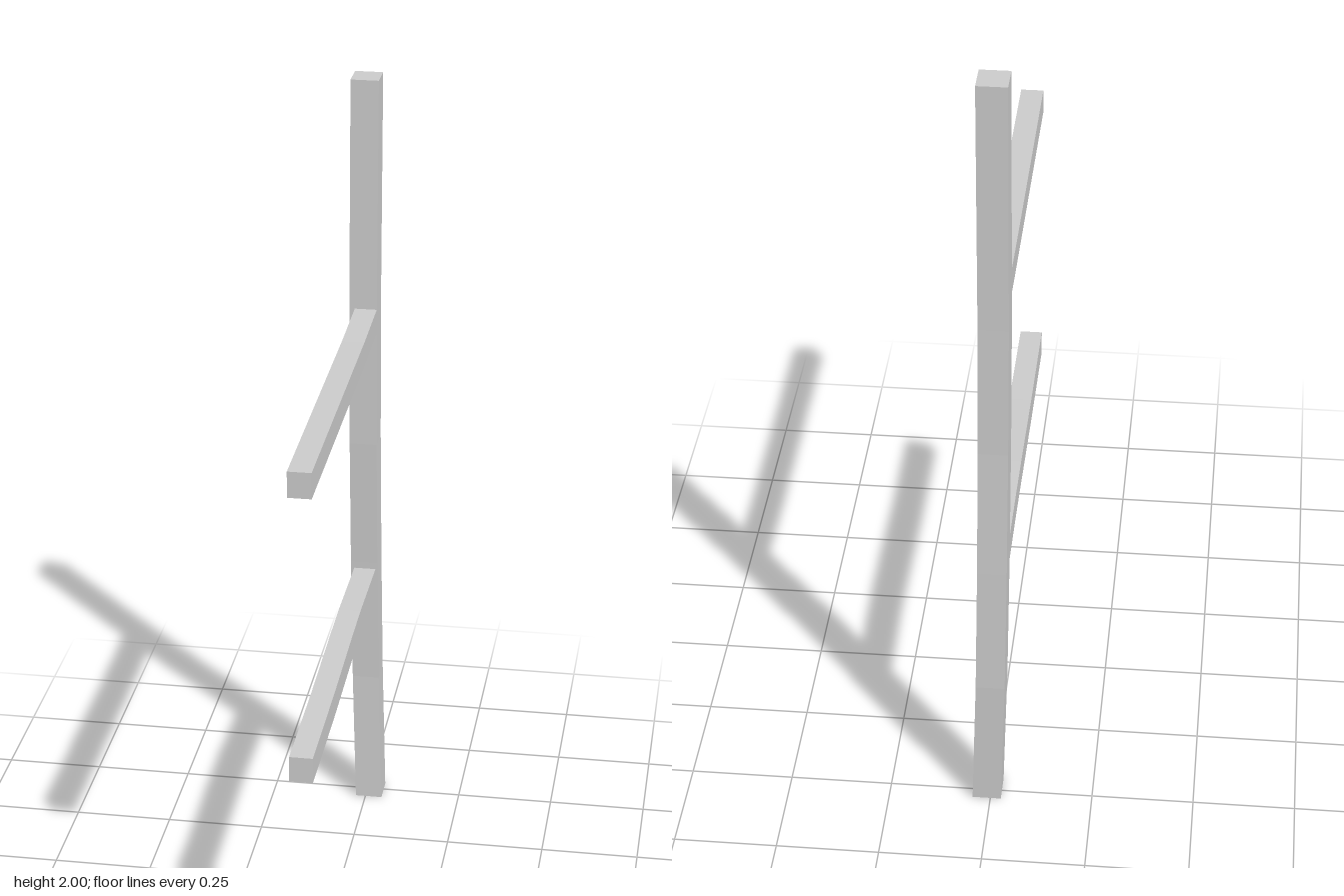
import * as THREE from 'three';

const material = new THREE.MeshStandardMaterial({ color: 0xcccccc, flatShading: true });

// Square beam along 'y' or 'z' whose cross-sections follow a list of centre points
function bentBeam(name, axis, width, depth, points) {
  const n = points.length - 1;
  const geo = axis === 'y'
    ? new THREE.BoxGeometry(width, n, depth, 1, n, 1)
    : new THREE.BoxGeometry(width, depth, n, 1, 1, n);
  const pos = geo.attributes.position;
  const v = new THREE.Vector3();
  for (let i = 0; i < pos.count; i++) {
    v.fromBufferAttribute(pos, i);
    const row = Math.round(v[axis] + n / 2);
    v[axis] = 0;
    v.add(new THREE.Vector3(...points[row]));
    pos.setXYZ(i, v.x, v.y, v.z);
  }
  geo.computeVertexNormals();
  const mesh = new THREE.Mesh(geo, material);
  mesh.name = name;
  return mesh;
}

export function createModel() {
  const group = new THREE.Group();
  group.name = 'postWithArms';

  // Slightly crooked upright
  group.add(bentBeam('post', 'y', 0.07, 0.075, [
    [0.009, 0, -0.493], [-0.002, 0.36, -0.504], [-0.007, 0.7, -0.5],
    [-0.010, 1.04, -0.494], [-0.012, 1.38, -0.497], [-0.012, 2, -0.511],
  ]));

  // Two arms reaching forward, rooted inside the post
  group.add(bentBeam('upperArm', 'z', 0.056, 0.064, [
    [-0.005, 1.378, -0.5], [-0.005, 1.376, -0.42], [-0.005, 1.371, -0.25],
    [-0.005, 1.371, 0.55],
  ]));
  group.add(bentBeam('lowerArm', 'z', 0.056, 0.065, [
    [-0.005, 0.649, -0.5], [-0.005, 0.658, -0.2], [-0.005, 0.656, -0.06],
    [-0.005, 0.646, 0.23], [-0.005, 0.645, 0.55],
  ]));
  return group;
}
